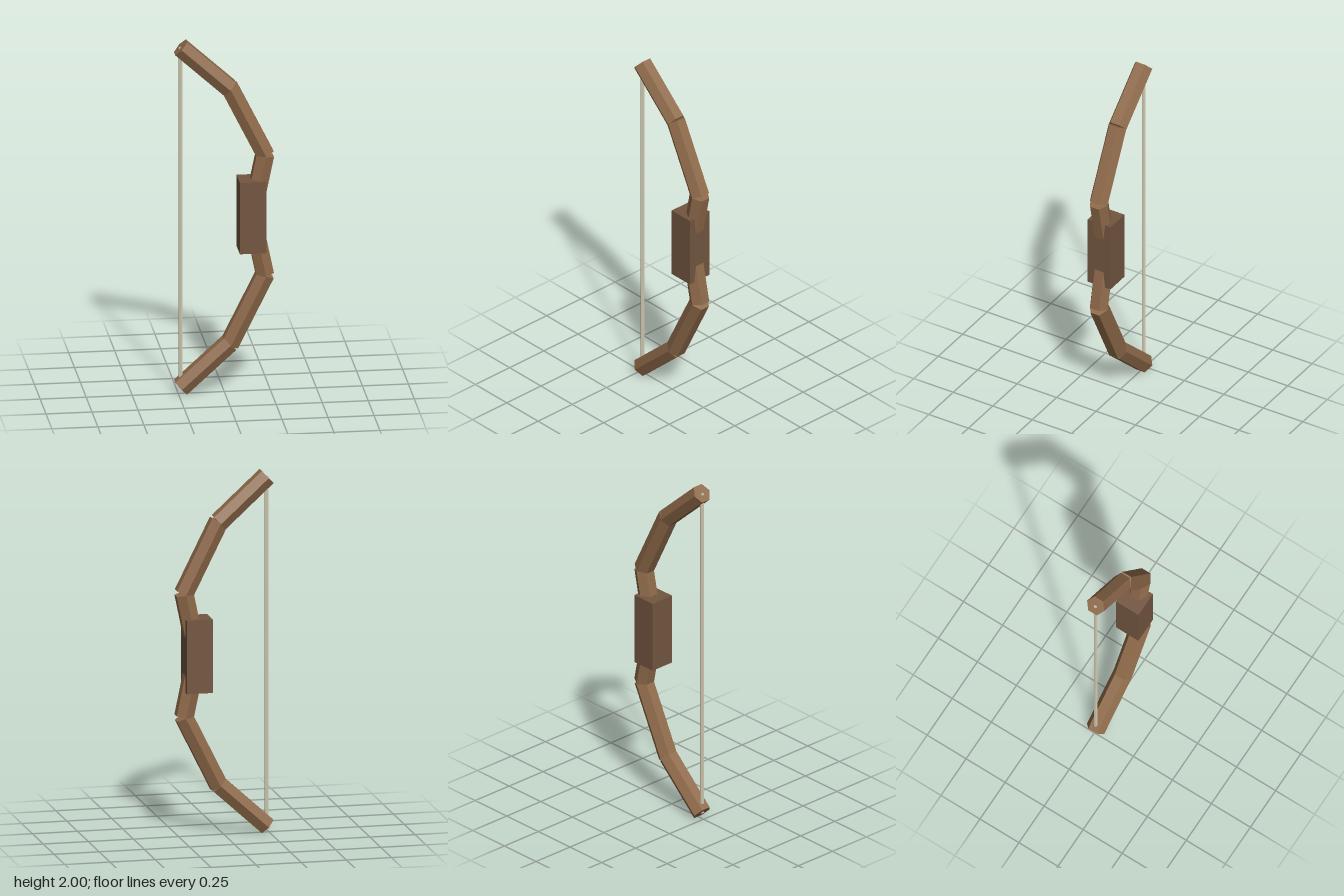
import * as THREE from 'three';

const limbWood = new THREE.MeshStandardMaterial({ color: 0x8f6a4a });
limbWood.name = 'limb wood';
const gripWood = new THREE.MeshStandardMaterial({ color: 0x735640 });
gripWood.name = 'grip wood';
const cord = new THREE.MeshStandardMaterial({ color: 0xcfc8b0 });
cord.name = 'cord';

// Hexagonal rod between two points in the xy plane, with sharp facets
function hexRod(name, [x0, y0], [x1, y1], radius, material) {
  const length = Math.hypot(x1 - x0, y1 - y0);
  const smooth = new THREE.CylinderGeometry(radius, radius, length, 6);
  const geometry = smooth.toNonIndexed();
  geometry.computeVertexNormals();
  const mesh = new THREE.Mesh(geometry, material);
  mesh.name = name;
  mesh.position.set((x0 + x1) / 2, (y0 + y1) / 2, 0);
  mesh.rotation.z = -Math.atan2(x1 - x0, y1 - y0);
  return mesh;
}

export function createModel() {
  const model = new THREE.Group();
  model.name = 'bow';

  // Limbs: three straight segments each, mirrored about y = 1
  const segments = [
    ['innerSegment', [0.15, 1.0], [0.22, 1.34]],
    ['middleSegment', [0.222, 1.34], [0.028, 1.73]],
    ['tipSegment', [0.028, 1.725], [-0.2375, 1.967]],
  ];
  for (const side of ['upper', 'lower']) {
    const limb = new THREE.Group();
    limb.name = side + 'Limb';
    const place = ([x, y]) => [x, side === 'upper' ? y : 2 - y];
    for (const [name, a, b] of segments) {
      // Always build from bottom to top
      const [p, q] = side === 'upper' ? [a, b] : [b, a];
      limb.add(hexRod(name, place(p), place(q), 0.055, limbWood));
    }
    model.add(limb);
  }

  // Grip block
  const grip = new THREE.Mesh(new THREE.BoxGeometry(0.144, 0.405, 0.144), gripWood);
  grip.name = 'grip';
  grip.position.set(0.148, 1.002, 0);
  model.add(grip);

  // String between the limb tips
  model.add(hexRod('bowString', [-0.237, 0.033], [-0.237, 1.967], 0.011, cord));

  return model;
}
